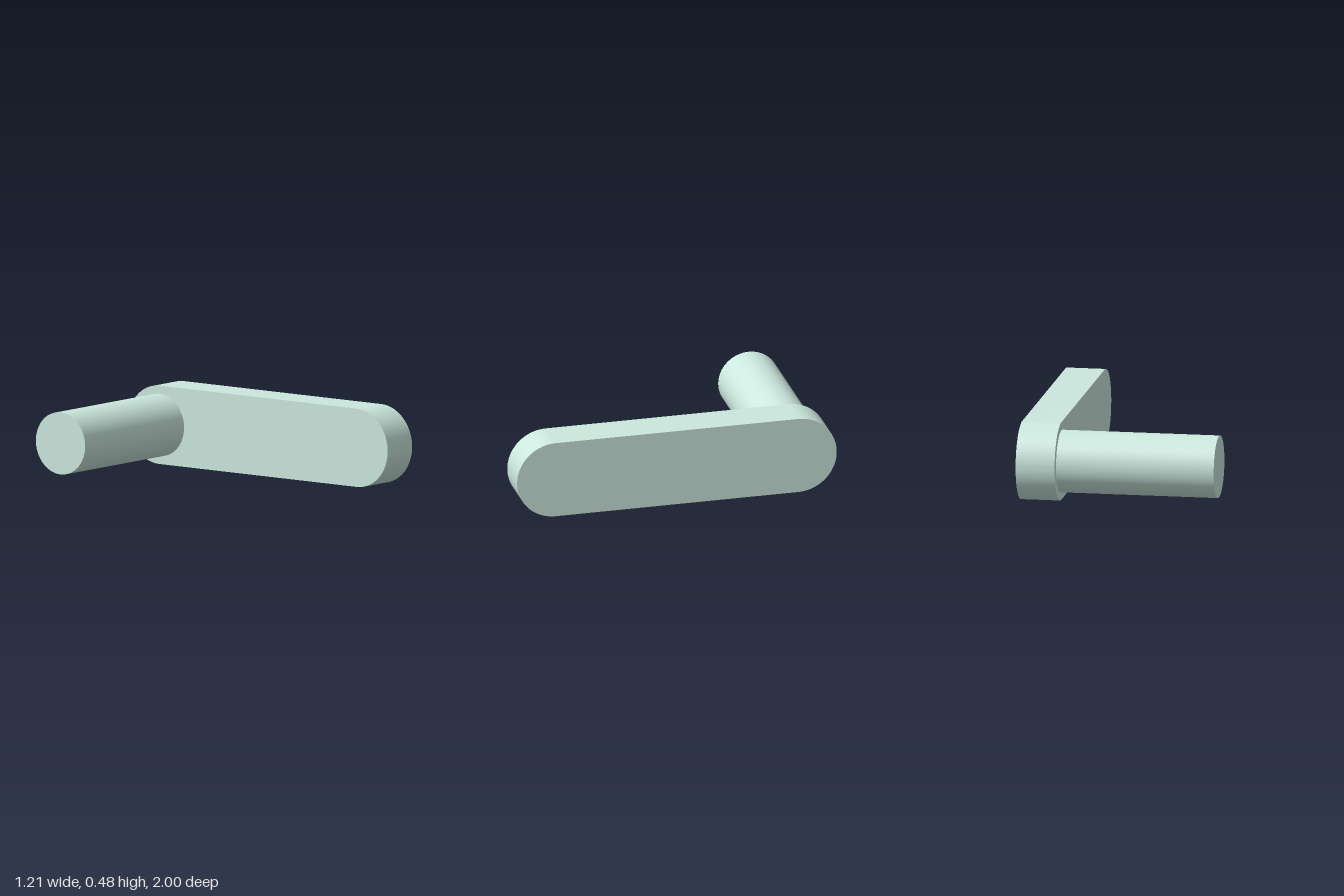
import * as THREE from 'three';
import { toCreasedNormals } from 'three/addons/utils/BufferGeometryUtils.js';

const RADIUS = 0.24;      // rounded ends of the arm
const PIVOT = 0.76;       // distance of each end's centre from the middle
const INNER_X = 0.365;    // arm face that carries the handle
const OUTER_X = 0.605;

export function createModel() {
  const group = new THREE.Group();
  group.name = 'crank';
  const material = new THREE.MeshStandardMaterial({ color: 0xcce8de });

  // Arm: a flat bar with fully rounded ends, extruded along x
  const outline = new THREE.Shape();
  outline.absarc(PIVOT, 0, RADIUS, -Math.PI / 2, Math.PI / 2, false);
  outline.absarc(-PIVOT, 0, RADIUS, Math.PI / 2, Math.PI * 1.5, false);
  outline.closePath();
  const armGeometry = new THREE.ExtrudeGeometry(outline, {
    depth: OUTER_X - INNER_X, bevelEnabled: false, curveSegments: 40,
  });
  armGeometry.rotateY(Math.PI / 2);
  const arm = new THREE.Mesh(toCreasedNormals(armGeometry, 0.5), material);
  arm.name = 'arm';
  arm.position.set(INNER_X, RADIUS, 0);
  group.add(arm);

  // Handle: a round peg from the inner face at the back end
  const length = INNER_X + OUTER_X;
  const handleGeometry = new THREE.CylinderGeometry(0.19, 0.19, length, 80);
  handleGeometry.rotateZ(Math.PI / 2);
  const handle = new THREE.Mesh(handleGeometry, material);
  handle.name = 'handle';
  handle.position.set(INNER_X - length / 2, RADIUS, -PIVOT);
  group.add(handle);

  return group;
}
